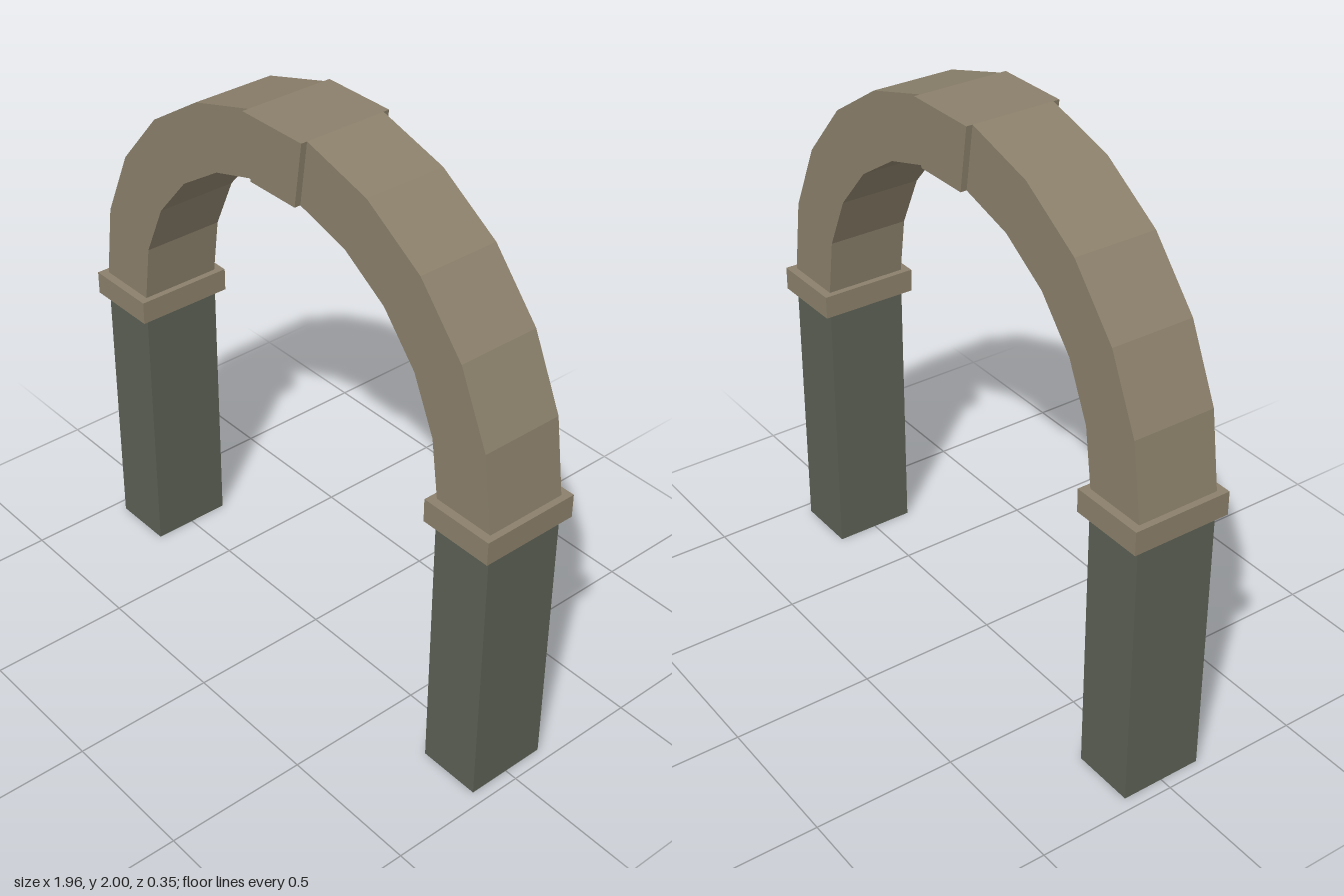
import * as THREE from 'three';

const SEGMENTS = 11, SPRING_Y = 1.055, OUTER = 0.955, INNER = 0.73;

export function createModel() {
  const model = new THREE.Group();
  model.name = 'archway';

  const stone = new THREE.MeshStandardMaterial({ color: 0x8b806b });
  stone.name = 'warm stone';
  const pillarStone = new THREE.MeshStandardMaterial({ color: 0x5b6054 });
  pillarStone.name = 'dark green stone';
  stone.flatShading = pillarStone.flatShading = true;

  const add = (name, geometry, material, x = 0, y = 0) => {
    const mesh = new THREE.Mesh(geometry, material);
    mesh.name = name;
    mesh.position.set(x, y, 0);
    model.add(mesh);
  };

  // Faceted ring section between two segment indices, centred in depth
  const archSection = (from, to, depth) => {
    const outer = [], inner = [];
    for (let i = from; i <= to; i++) {
      const a = (i / SEGMENTS) * Math.PI;
      const c = Math.cos(a), s = Math.sin(a);
      outer.push(new THREE.Vector2(OUTER * c, SPRING_Y + OUTER * s));
      inner.unshift(new THREE.Vector2(INNER * c, SPRING_Y + INNER * s));
    }
    const shape = new THREE.Shape([...outer, ...inner]);
    return new THREE.ExtrudeGeometry(shape, { depth, bevelEnabled: false })
      .translate(0, 0, -depth / 2);
  };

  // Arch halves with a slightly deeper keystone between them
  add('leftArch', archSection(0, 5, 0.294), stone);
  add('keystone', archSection(5, 6, 0.338), stone);
  add('rightArch', archSection(6, 11, 0.294), stone);

  // Pillars and the wider blocks that carry the arch
  for (const [side, sign] of [['left', 1], ['right', -1]]) {
    const x = sign * (OUTER + INNER) / 2;
    add(side + 'Pillar', new THREE.BoxGeometry(OUTER - INNER, 0.975, 0.294), pillarStone, x, 0.4875);
    add(side + 'Impost', new THREE.BoxGeometry(0.27, 0.083, 0.353), stone, x, 1.0155);
  }
  return model;
}
